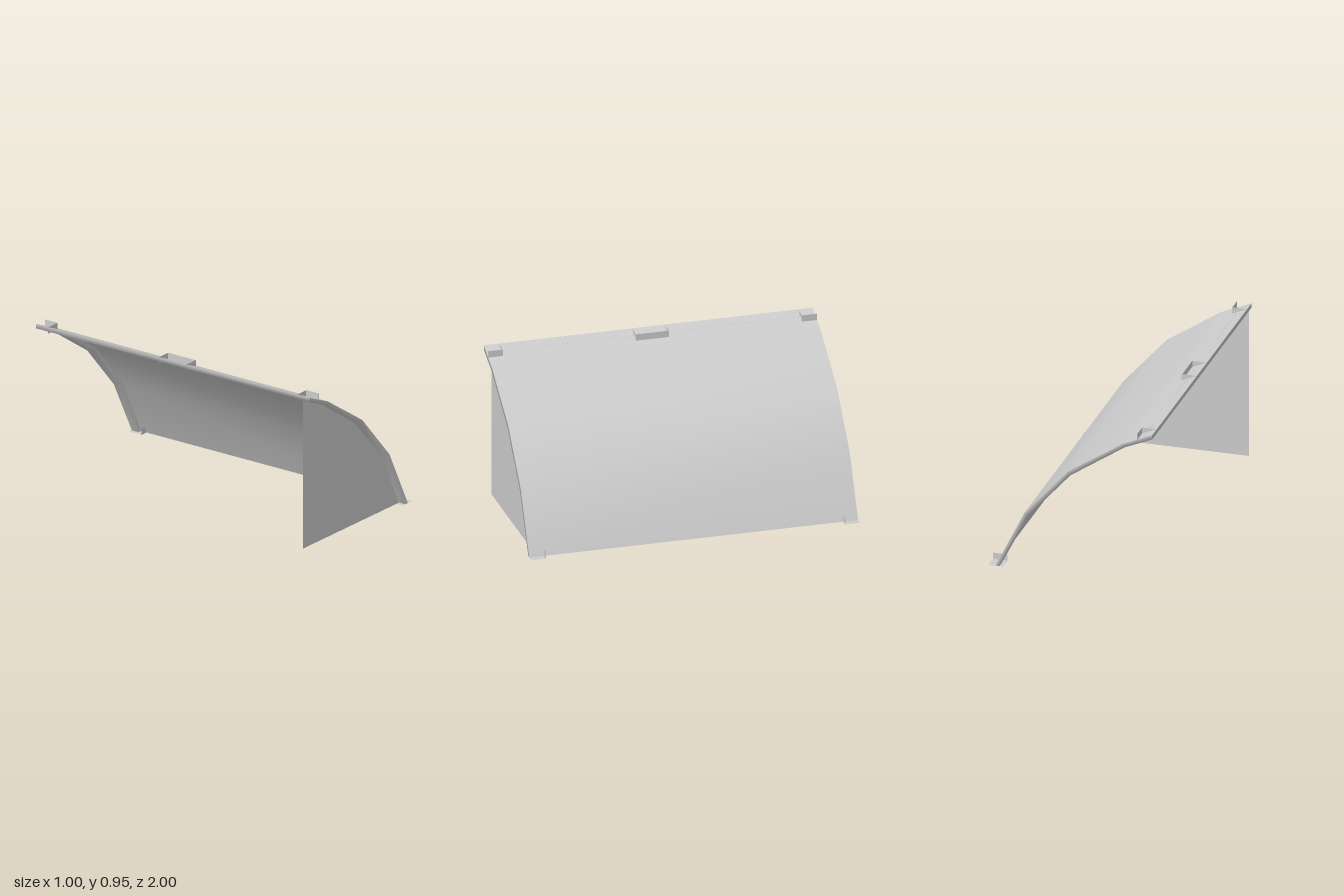
import * as THREE from 'three';

const mat = new THREE.MeshStandardMaterial({ color: 0xcccccc, side: THREE.DoubleSide });

// Sheet profiles in x, y from the top edge down to the foot
const outer = [[-0.5, 0.955], [-0.32, 0.878], [0.015, 0.658], [0.28, 0.36], [0.458, 0]];
const inner = [[-0.5, 0.928], [-0.33, 0.855], [0, 0.635], [0.26, 0.342], [0.434, 0]];
const at = (profile, z) => profile.map(([x, y]) => [x, y, z]);

// Smooth surface through rows of points
function loft(...rows) {
  const g = new THREE.BufferGeometry();
  const n = rows[0].length, index = [];
  g.setAttribute('position', new THREE.Float32BufferAttribute(rows.flat(2), 3));
  for (let r = 0; r < rows.length - 1; r++)
    for (let i = 0; i < n - 1; i++) {
      const a = r * n + i, b = a + n;
      index.push(a, a + 1, b, a + 1, b + 1, b);
    }
  g.setIndex(index);
  g.computeVertexNormals();
  return g;
}

export function createModel() {
  const group = new THREE.Group();
  const add = (name, geometry, parent = group) => {
    const mesh = new THREE.Mesh(geometry, mat);
    mesh.name = name;
    parent.add(mesh);
    return mesh;
  };

  // Bent ramp sheet: flat top band, then the smooth curve
  add('topBand', loft(at(outer.slice(0, 2), 1), at(outer.slice(0, 2), -1)));
  add('rampSurface', loft(at(outer.slice(1), 1), at(outer.slice(1), -1)));

  // Box-section hems along both ends: rim, return and inner web
  for (const s of [1, -1]) {
    const rows = [at(outer, s * 0.95), at(inner, s * 0.95), at(inner, s), at(outer, s)];
    add('endHem', loft(...(s > 0 ? rows : rows.reverse())));
  }

  // The same hem along the top edge
  const topSection = [[-0.5, 0.955], [-0.5, 0.928], [-0.445, 0.904], [-0.445, 0.932]];
  add('topHem', loft(...topSection.map(([x, y]) => [[x, y, -1], [x, y, 1]])));

  // Single end panel, set in behind the front rim
  const shape = new THREE.Shape([[-0.5, 0], ...inner].map(([x, y]) => new THREE.Vector2(x, y)));
  add('endPanel', new THREE.ShapeGeometry(shape)).position.z = 0.953;

  // Flat plate facing z
  const sidePlate = (parent, x0, x1, y0, y1, z) =>
    add('bracketSide', new THREE.PlaneGeometry(x1 - x0, y1 - y0), parent)
      .position.set((x0 + x1) / 2, (y0 + y1) / 2, z);

  // Top brackets: thin upright face with cheeks, open above
  for (const [z0, z1, cheeks] of [[-1, -0.91, [-0.91]], [-0.1, 0.1, [-0.1, 0.1]], [0.91, 1, [0.91]]]) {
    const bracket = new THREE.Group();
    bracket.name = 'topBracket';
    group.add(bracket);
    add('bracketFace', new THREE.BoxGeometry(0.004, 0.04, z1 - z0), bracket)
      .position.set(-0.409, 0.935, (z0 + z1) / 2);
    for (const z of cheeks) sidePlate(bracket, -0.5, -0.409, 0.915, 0.955, z);
  }

  // Foot brackets: base plate with one upright cheek
  for (const s of [1, -1]) {
    const bracket = new THREE.Group();
    bracket.name = 'footBracket';
    group.add(bracket);
    const base = add('bracketBase', new THREE.PlaneGeometry(0.09, 0.09), bracket);
    base.rotation.x = -Math.PI / 2;
    base.position.set(0.455, 0, s * 0.955);
    sidePlate(bracket, 0.41, 0.5, 0, 0.04, s * 0.91);
  }
  return group;
}
